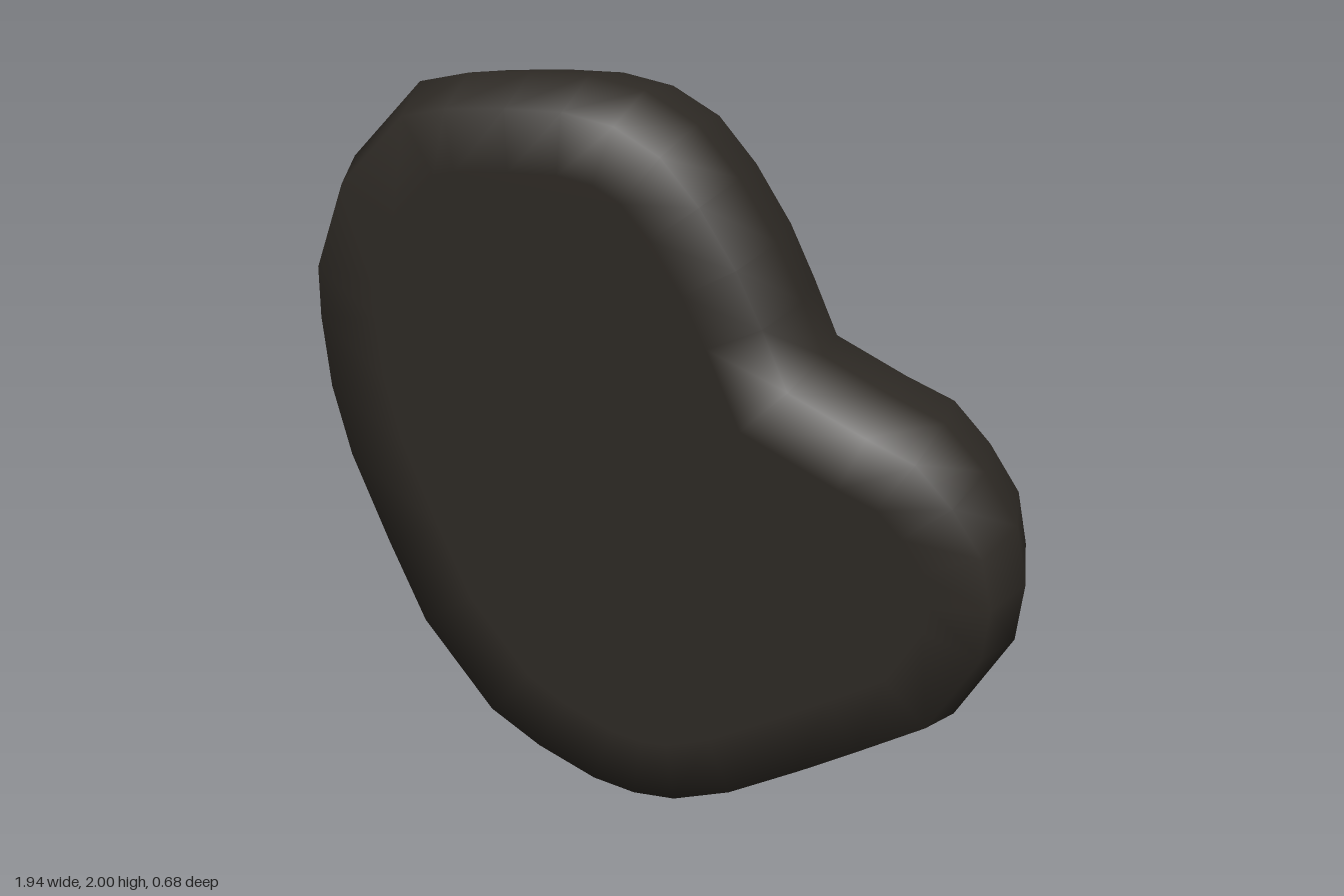
import * as THREE from 'three';

// Lopsided heart outline, counter-clockwise as seen from +z
const OUTLINE = [
  [0.08, 0], [0.25, 0.05], [0.45, 0.15], [0.6, 0.23], [0.8, 0.34], [0.95, 0.58], [0.97, 0.74], [0.94, 0.9],
  [0.85, 1.04], [0.74, 1.16], [0.6, 1.22], [0.42, 1.31], [0.36, 1.45], [0.29, 1.6], [0.19, 1.76], [0.08, 1.89],
  [-0.06, 1.97], [-0.21, 2], [-0.37, 2], [-0.54, 1.99], [-0.68, 1.96], [-0.88, 1.75], [-0.97, 1.5], [-0.97, 1.35],
  [-0.95, 1.15], [-0.9, 0.95], [-0.8, 0.7], [-0.7, 0.47], [-0.5, 0.21], [-0.35, 0.11], [-0.18, 0.03], [-0.05, 0],
].map(([x, y]) => new THREE.Vector2(x, y));
const N = OUTLINE.length;

// Outline moved inwards by a distance, mitred at each corner
function insetOutline(distance) {
  return OUTLINE.map((p, i) => {
    const a = p.clone().sub(OUTLINE[(i + N - 1) % N]).normalize();
    const b = OUTLINE[(i + 1) % N].clone().sub(p).normalize();
    const n = new THREE.Vector2(-a.y - b.y, a.x + b.x).normalize();
    const miter = n.dot(new THREE.Vector2(-a.y, a.x));
    return p.clone().addScaledVector(n, distance / miter);
  });
}

function makeGeometry(positions, index) {
  const geometry = new THREE.BufferGeometry();
  geometry.setAttribute('position', new THREE.Float32BufferAttribute(positions, 3));
  geometry.setIndex(index);
  geometry.computeVertexNormals();
  return geometry;
}

// Flat front, bulging sides and rounded-in back, from front to back as [inset, z]
function bodyGeometry() {
  const sections = [[0.22, 0.34], [0.06, 0.34], [0, 0.15], [0.04, -0.13], [0.09, -0.235], [0.19, -0.34]];
  const loops = sections.map(([inset]) => insetOutline(inset));
  const positions = [];
  const index = [];
  loops.forEach((loop, s) => loop.forEach((p) => positions.push(p.x, p.y, sections[s][1])));
  for (let s = 0; s < loops.length - 1; s++) {
    for (let i = 0; i < N; i++) {
      const j = (i + 1) % N;
      const a = s * N + i, b = s * N + j;
      index.push(a, a + N, b, b, a + N, b + N);
    }
  }
  THREE.ShapeUtils.triangulateShape(loops[0], []).forEach((t) => index.push(...t));
  return makeGeometry(positions, index);
}

// Flat panel closing the back
function backGeometry() {
  const loop = insetOutline(0.19);
  const positions = loop.flatMap((p) => [p.x, p.y, -0.34]);
  const index = THREE.ShapeUtils.triangulateShape(loop, []).flatMap(([a, b, c]) => [a, c, b]);
  return makeGeometry(positions, index);
}

export function createModel() {
  const model = new THREE.Group();
  model.name = 'heartPad';

  const body = new THREE.Mesh(bodyGeometry(), new THREE.MeshStandardMaterial({ color: 0x2e2a25 }));
  body.name = 'padBody';

  const back = new THREE.Mesh(backGeometry(), new THREE.MeshStandardMaterial({ color: 0x8a8a8a }));
  back.name = 'backPanel';

  model.add(body, back);
  return model;
}
